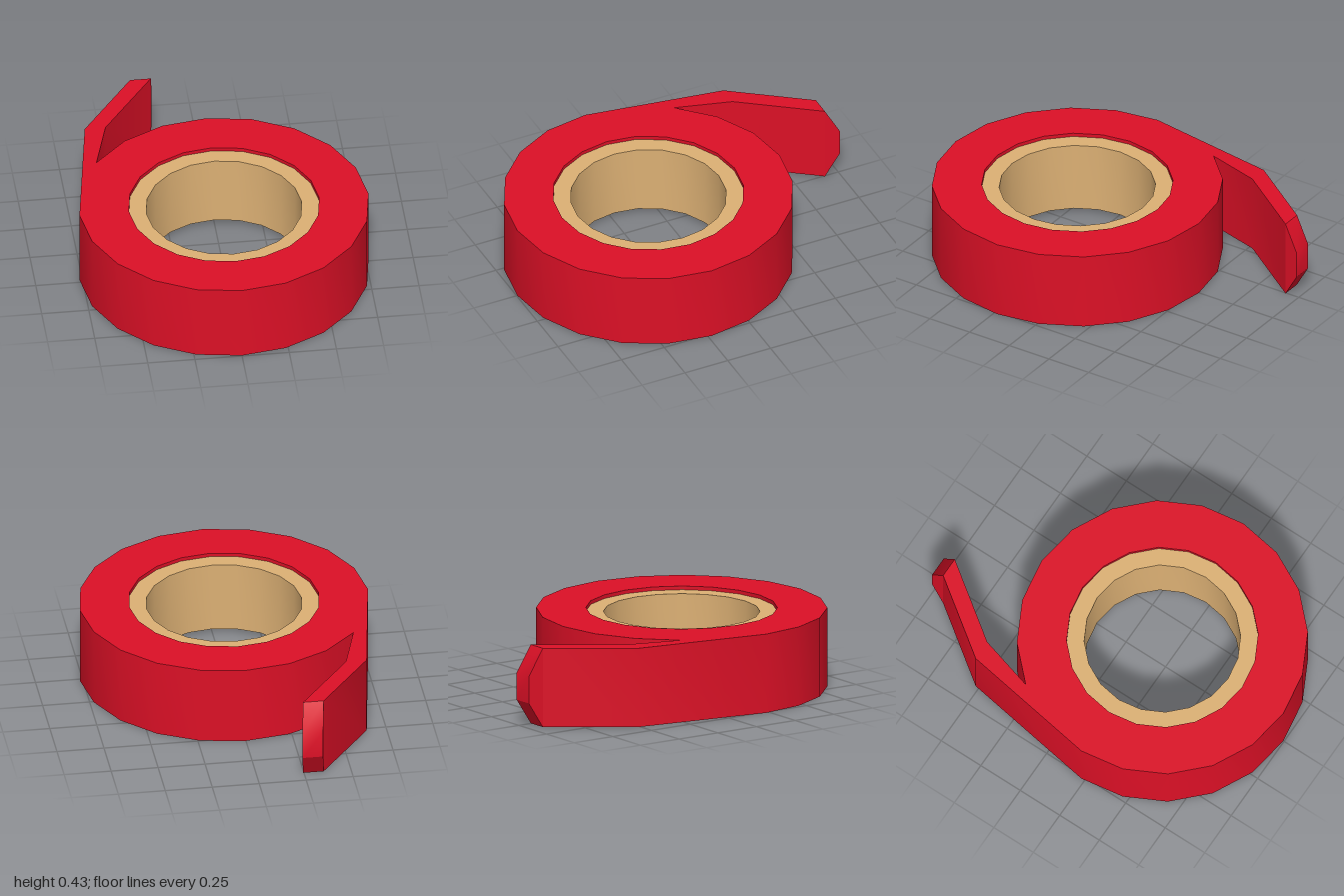
import * as THREE from 'three';
import { toCreasedNormals } from 'three/addons/utils/BufferGeometryUtils.js';

const SIDES = 20, OUTER = 0.766, CORE = 0.504, BORE = 0.412;
const HEIGHT = 0.425, CENTER_Z = 0.23, RECESS = 0.02;

const smooth = (geometry) => toCreasedNormals(geometry, Math.PI / 6);

export function createModel() {
  const model = new THREE.Group();
  model.name = 'tapeRoll';
  const tapeRed = new THREE.MeshStandardMaterial({ color: 0xdc1026 });
  tapeRed.name = 'tapeRed';
  const cardboard = new THREE.MeshStandardMaterial({ color: 0xdcb074 });
  cardboard.name = 'cardboard';

  const add = (name, geometry, material) => {
    const mesh = new THREE.Mesh(geometry, material);
    mesh.name = name;
    model.add(mesh);
    return mesh;
  };

  // Point of a regular ring, in plan (shape y is -z)
  const ringPoint = (radius, i) => {
    const a = (i / SIDES) * Math.PI * 2;
    return new THREE.Vector2(Math.cos(a) * radius, Math.sin(a) * radius - CENTER_Z);
  };

  // Wound tape: ring outline that runs off into the loose tail on the left of the plan
  const outline = [];
  for (let i = 10; i <= 28; i++) outline.push(ringPoint(OUTER, i));
  // skip the one ring corner buried in the root of the tail
  const tail = [[-0.535, 0.52], [-0.245, 0.92], [-0.355, 0.92], [-0.645, 0.52]];
  tail.forEach(([x, y]) => outline.push(new THREE.Vector2(x, y)));
  const shape = new THREE.Shape(outline);
  const hole = [];
  for (let i = 0; i < SIDES; i++) hole.push(ringPoint(CORE, i));
  shape.holes.push(new THREE.Path(hole));
  const tape = new THREE.ExtrudeGeometry(shape, { depth: HEIGHT, bevelEnabled: false });
  tape.rotateX(-Math.PI / 2);
  add('woundTape', smooth(tape), tapeRed);

  // Tapered tip of the tail: a box with its corners moved
  const tip = new THREE.BoxGeometry(1, 1, 1);
  const p = tip.attributes.position;
  for (let i = 0; i < p.count; i++) {
    const inner = p.getX(i) > 0, top = p.getY(i) > 0, base = p.getZ(i) > 0;
    const x = base ? (inner ? -0.245 : -0.355) : (inner ? -0.23 : -0.34);
    const y = base ? (top ? HEIGHT : 0) : (top ? 0.28 : 0.135);
    p.setXYZ(i, x, y, base ? -0.92 : -1);
  }
  add('tailTip', smooth(tip), tapeRed);

  // Cardboard core, slightly recessed at both ends
  const profile = [
    [CORE, RECESS], [CORE, HEIGHT - RECESS],
    [BORE, HEIGHT - RECESS], [BORE, RECESS], [CORE, RECESS],
  ].map(([x, y]) => new THREE.Vector2(x, y));
  const core = add('core', smooth(new THREE.LatheGeometry(profile, SIDES)), cardboard);
  core.position.z = CENTER_Z;

  return model;
}
